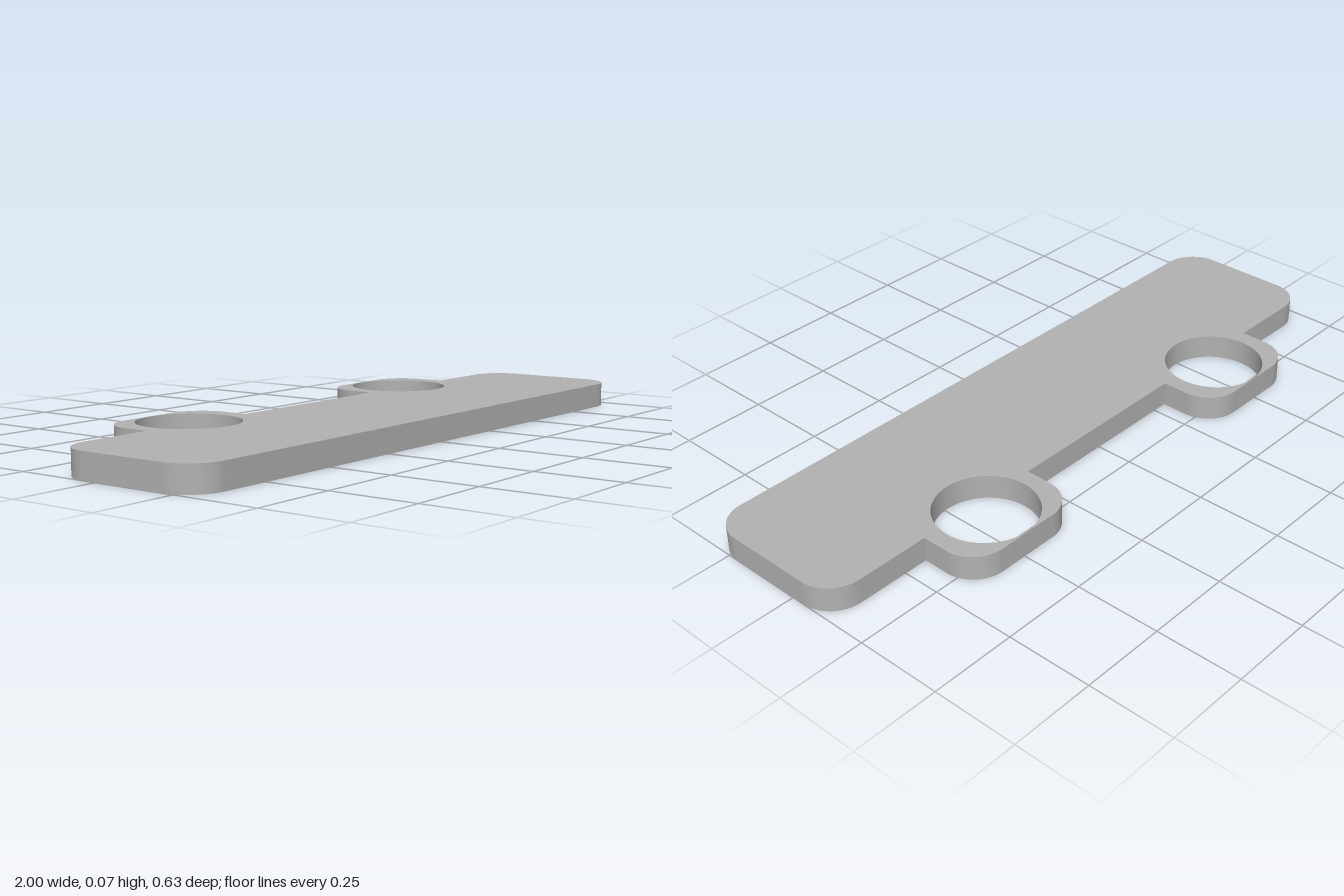
import * as THREE from 'three';
import { toCreasedNormals } from 'three/addons/utils/BufferGeometryUtils.js';

const THICKNESS = 0.072;
const FRONT = -0.3175, SHOULDER = 0.14, BACK = 0.3175; // shape y is -z
const CORNER = 0.1;
const TAB = { x: 0.4875, halfWidth: 0.193, holeY: 0.171, holeRadius: 0.1445 };

// Quarter-round corner of the outline, turning anticlockwise
function corner(shape, cx, cy, startAngle) {
  shape.absarc(cx, cy, CORNER, startAngle, startAngle + Math.PI / 2, false);
}

// Rounded tab on the back edge, traced from right to left
function tab(shape, x) {
  const right = x + TAB.halfWidth, left = x - TAB.halfWidth;
  shape.lineTo(right, SHOULDER);
  corner(shape, right - CORNER, BACK - CORNER, 0);
  corner(shape, left + CORNER, BACK - CORNER, Math.PI / 2);
  shape.lineTo(left, SHOULDER);
}

export function createModel() {
  const group = new THREE.Group();
  group.name = 'mountingPlate';

  const grey = new THREE.MeshStandardMaterial({ color: 0xb2b2b2 });
  grey.name = 'grey';

  // Plate outline with two tabs
  const outline = new THREE.Shape();
  outline.moveTo(-1 + CORNER, FRONT);
  corner(outline, 1 - CORNER, FRONT + CORNER, -Math.PI / 2);
  corner(outline, 1 - CORNER, SHOULDER - CORNER, 0);
  tab(outline, TAB.x);
  tab(outline, -TAB.x);
  corner(outline, -1 + CORNER, SHOULDER - CORNER, Math.PI / 2);
  corner(outline, -1 + CORNER, FRONT + CORNER, Math.PI);

  // Round hole through each tab
  for (const side of [1, -1]) {
    const hole = new THREE.Path();
    hole.absarc(side * TAB.x, TAB.holeY, TAB.holeRadius, 0, Math.PI * 2, true);
    outline.holes.push(hole);
  }

  const geometry = new THREE.ExtrudeGeometry(outline, {
    depth: THICKNESS, bevelEnabled: false, curveSegments: 24,
  });
  geometry.rotateX(-Math.PI / 2);

  const plate = new THREE.Mesh(toCreasedNormals(geometry, Math.PI / 6), grey);
  plate.name = 'plateWithTabs';
  group.add(plate);
  return group;
}
